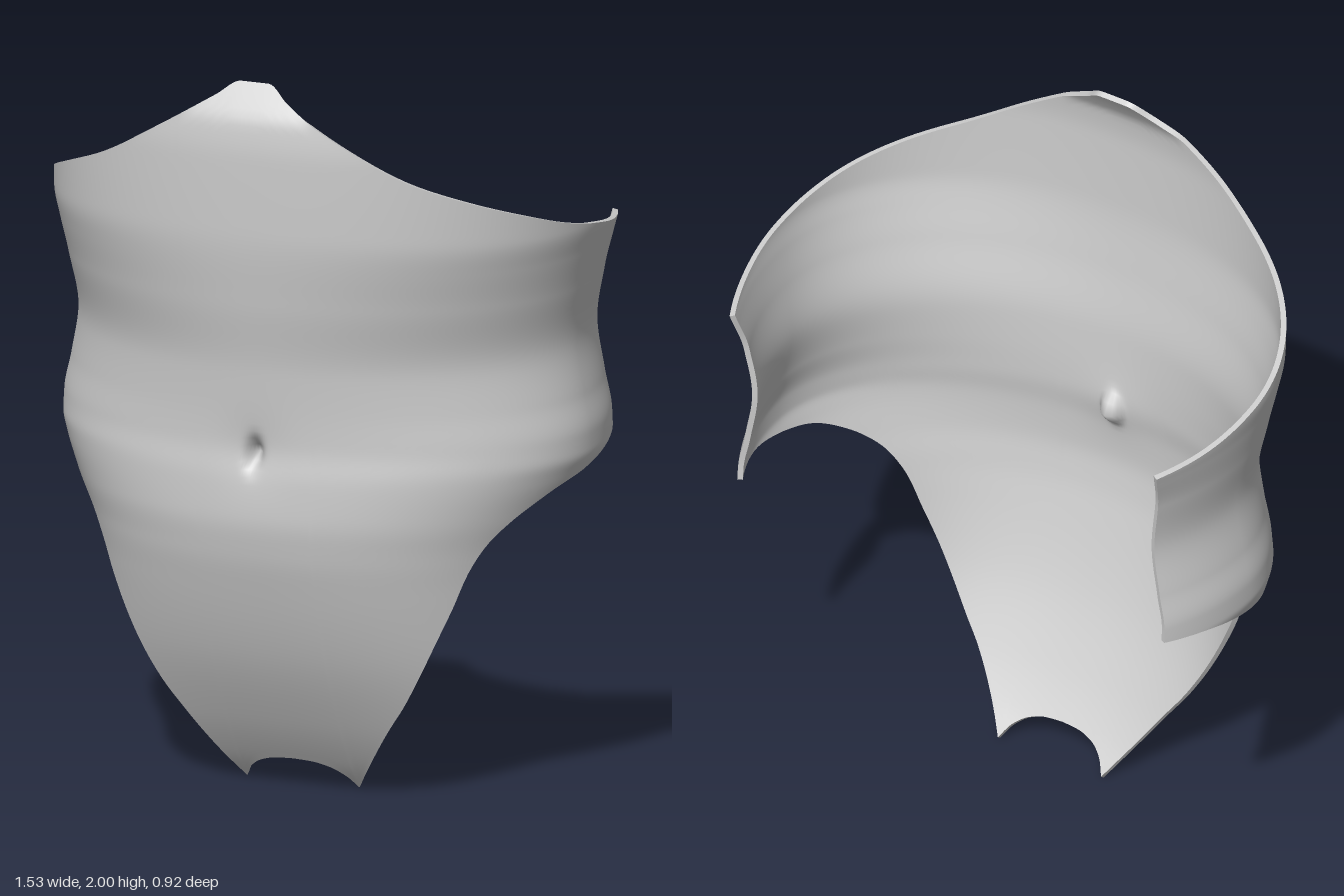
import * as THREE from 'three';

// Smooth interpolation through [key, value] points without overshoot
function curve(points) {
  const n = points.length;
  const slope = i => (points[i + 1][1] - points[i][1]) / (points[i + 1][0] - points[i][0]);
  const tangent = points.map((_, i) => {
    if (i === 0) return slope(0);
    if (i === n - 1) return slope(n - 2);
    const a = slope(i - 1), b = slope(i);
    return a * b <= 0 ? 0 : 2 * a * b / (a + b);
  });
  return t => {
    t = Math.min(Math.max(t, points[0][0]), points[n - 1][0]);
    let i = 0;
    while (i < n - 2 && t > points[i + 1][0]) i++;
    const h = points[i + 1][0] - points[i][0], s = (t - points[i][0]) / h;
    const s2 = s * s, s3 = s2 * s;
    return (2 * s3 - 3 * s2 + 1) * points[i][1] + (s3 - 2 * s2 + s) * h * tangent[i]
      + (3 * s2 - 2 * s3) * points[i + 1][1] + (s3 - s2) * h * tangent[i + 1];
  };
}

const END = 116.3, NOTCH_COLS = 24, HALF = 110, ROWS = 90;
const THICKNESS = 0.015, AXIS_Z = -0.12, DEG = Math.PI / 180;

// Body profiles by height: front depth, half width, back depth and squareness of the section
const front = curve([[0, 0.08], [0.07, 0.135], [0.2, 0.215], [0.4, 0.31], [0.6, 0.375], [0.7, 0.4], [0.8, 0.413],
  [0.9, 0.41], [1, 0.4], [1.2, 0.41], [1.4, 0.44], [1.6, 0.46], [1.8, 0.462], [1.9, 0.452], [1.95, 0.425], [2, 0.39]]);
const width = curve([[0, 0.64], [0.5, 0.64], [0.6, 0.647], [0.7, 0.667], [0.8, 0.705], [0.9, 0.745], [0.95, 0.758],
  [1, 0.757], [1.1, 0.737], [1.25, 0.714], [1.4, 0.735], [1.5, 0.753], [1.58, 0.765], [2, 0.765]]);
const back = curve([[0.9, 0.69], [1.1, 0.665], [1.25, 0.655], [1.4, 0.68], [1.525, 0.768]]);
const power = curve([[0, 2.2], [0.5, 2.2], [0.8, 2.08], [1.2, 1.93], [1.4, 2.05], [1.6, 2.2], [2, 2.25]]);

// Edge heights by angle from the front, in degrees, with the front points given as [x, y]
const toAngle = ([x, y]) => [Math.asin((x / width(y)) ** (power(y) / 2)) / DEG, y];
const TIP = toAngle([0.165, 0])[0];
const notch = curve([[0, 0.078], [0.05, 0.075], [0.1, 0.062], [0.14, 0.035], [0.165, 0]].map(toAngle));
const hem = curve([...[[0.165, 0], [0.2, 0.05], [0.3, 0.195], [0.35, 0.265], [0.4, 0.35], [0.45, 0.45], [0.5, 0.56],
  [0.55, 0.68], [0.6, 0.757], [0.66, 0.82], [0.72, 0.875]].map(toAngle), [90, 0.905], [105, 0.945], [END, 0.96]]);
const neckline = curve([...[[0, 2], [0.04, 2], [0.1, 1.963], [0.2, 1.902], [0.3, 1.843], [0.4, 1.785], [0.47, 1.75],
  [0.6, 1.695], [0.7, 1.645], [0.75, 1.605]].map(toAngle), [90, 1.575], [105, 1.54], [END, 1.525]]);

// Columns run from -HALF to HALF, with one exactly on each tip of the notch
function columnAngle(col) {
  const k = Math.abs(col);
  return k <= NOTCH_COLS ? TIP * k / NOTCH_COLS : TIP + (END - TIP) * (k - NOTCH_COLS) / (HALF - NOTCH_COLS);
}

function outerPoint(col, row) {
  const a = columnAngle(col);
  const low = Math.abs(col) <= NOTCH_COLS ? notch(a) : hem(a);
  const y = low + (neckline(a) - low) * row / ROWS;
  const sin = Math.sin(a * DEG), cos = Math.cos(a * DEG);
  let x = width(y) * sin, z = AXIS_Z + back(y) * cos;
  if (a < 90) {
    x = width(y) * sin ** (2 / power(y));
    z = AXIS_Z + (front(y) - AXIS_Z) * cos ** (2 / power(y));
    // Navel dent
    const dy = y - 0.975;
    z -= 0.045 * Math.exp(-x * x / 0.0005 - dy * dy / 0.0011) + 0.008 * Math.exp(-(x * x + dy * dy) / 0.008);
  }
  return new THREE.Vector3(Math.sign(col) * x, y, z);
}

// Grid surface of points[col][row], facing outward unless flipped
function sheet(points, flip) {
  const rows = points[0].length, index = [];
  for (let c = 0; c < points.length - 1; c++) {
    for (let r = 0; r < rows - 1; r++) {
      const a = c * rows + r, b = a + rows;
      if (flip) index.push(a, b + 1, b, a, a + 1, b + 1);
      else index.push(a, b, b + 1, a, b + 1, a + 1);
    }
  }
  const geometry = new THREE.BufferGeometry().setFromPoints(points.flat());
  geometry.setIndex(index);
  geometry.computeVertexNormals();
  return geometry;
}

export function createModel() {
  const group = new THREE.Group();
  group.name = 'torsoPlate';
  const material = new THREE.MeshStandardMaterial({ color: 0xcccccc });
  material.name = 'light grey';
  const add = (name, geometry) => {
    const mesh = new THREE.Mesh(geometry, material);
    mesh.name = name;
    group.add(mesh);
  };

  // Outer shell
  const outer = [];
  for (let c = -HALF; c <= HALF; c++) {
    const column = [];
    for (let r = 0; r <= ROWS; r++) column.push(outerPoint(c, r));
    outer.push(column);
  }
  const outerGeometry = sheet(outer, false);
  add('outerShell', outerGeometry);

  // Inner lining, offset along the shell normals
  const normals = outerGeometry.attributes.normal;
  const inner = outer.map((column, c) => column.map((p, r) => {
    const normal = new THREE.Vector3().fromBufferAttribute(normals, c * (ROWS + 1) + r);
    return p.clone().addScaledVector(normal, -THICKNESS);
  }));
  add('innerLining', sheet(inner, true));

  // Rims closing the four edges
  const rowRim = r => outer.map((_, c) => [outer[c][r], inner[c][r]]);
  const sideRim = c => outer[c].map((p, r) => [p, inner[c][r]]);
  add('topRim', sheet(rowRim(ROWS), false));
  add('bottomRim', sheet(rowRim(0), true));
  add('leftRim', sheet(sideRim(2 * HALF), true));
  add('rightRim', sheet(sideRim(0), false));
  return group;
}
